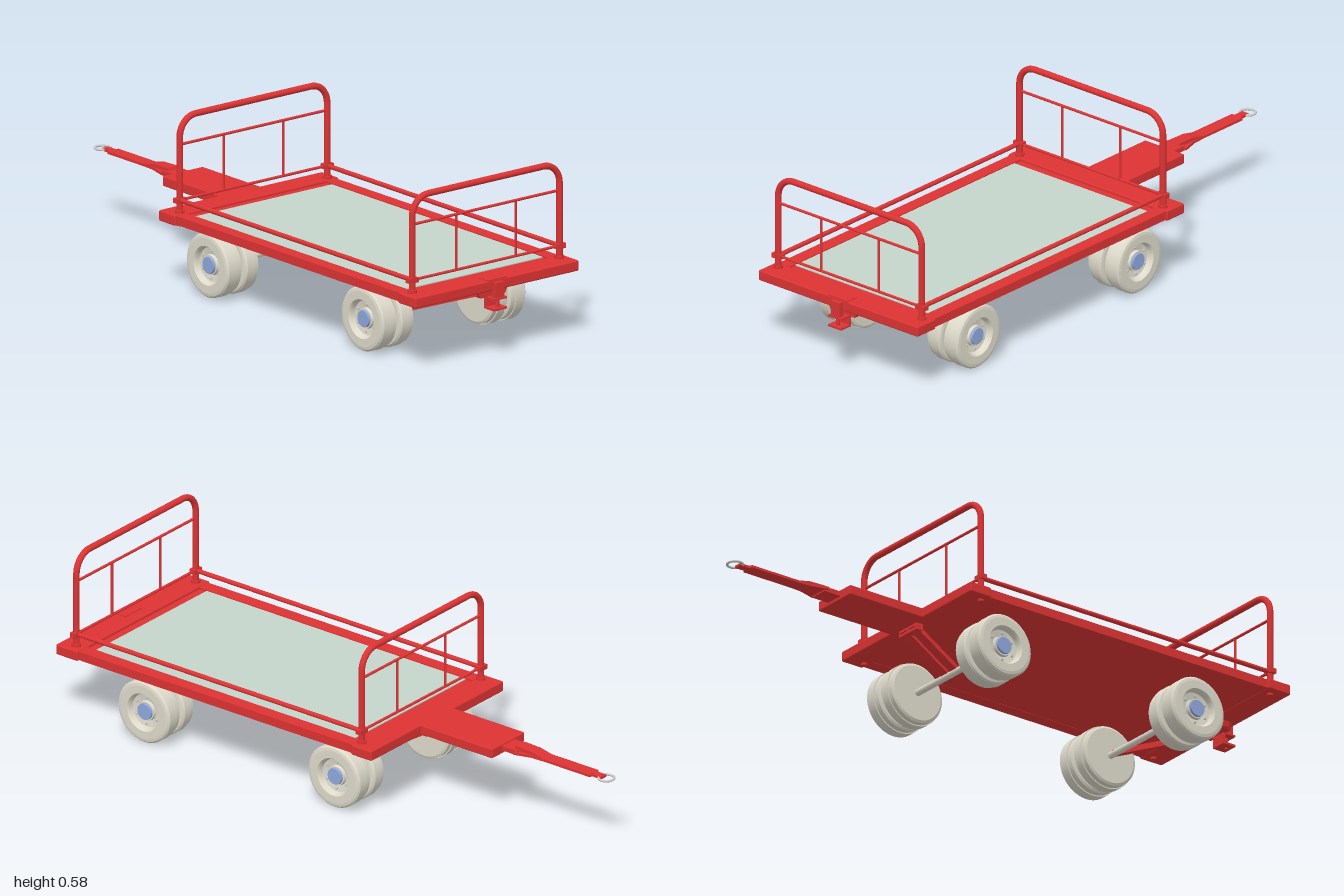
import * as THREE from 'three';
import { RoundedBoxGeometry } from 'three/addons/geometries/RoundedBoxGeometry.js';

const mat = (color) => new THREE.MeshStandardMaterial({ color });
const red = mat(0xdd3333), cream = mat(0xdedacb), blue = mat(0x8fa8dd), glass = mat(0xc5d5ca), grey = mat(0xcccccc);
cream.side = THREE.DoubleSide;
const V = (x, y, z) => new THREE.Vector3(x, y, z);

function add(parent, name, geometry, material = red, x = 0, y = 0, z = 0) {
  const mesh = new THREE.Mesh(geometry, material);
  mesh.name = name;
  mesh.position.set(x, y, z);
  parent.add(mesh);
  return mesh;
}

// Box given by its limits on each axis
function box(parent, name, [x0, x1], [y0, y1], [z0, z1], material = red, round = 0) {
  const s = [x1 - x0, y1 - y0, z1 - z0];
  const g = round ? new RoundedBoxGeometry(...s, 2, round) : new THREE.BoxGeometry(...s);
  return add(parent, name, g, material, (x0 + x1) / 2, (y0 + y1) / 2, (z0 + z1) / 2);
}

// Round bar between two points
function rod(parent, name, a, b, r, material = red) {
  const m = add(parent, name, new THREE.CylinderGeometry(r, r, a.distanceTo(b), 16), material);
  m.position.copy(a).add(b).multiplyScalar(0.5);
  m.quaternion.setFromUnitVectors(V(0, 1, 0), b.clone().sub(a).normalize());
}

// Flat bar between two points
function strut(parent, name, a, b, w, h) {
  const m = add(parent, name, new THREE.BoxGeometry(w, h, a.distanceTo(b)));
  m.position.copy(a).add(b).multiplyScalar(0.5);
  m.lookAt(b);
}

// End guard: bent hoop, two crossbars, two uprights
function endGuard(z) {
  const g = new THREE.Group();
  g.name = 'endGuard';
  const path = new THREE.CurvePath();
  const R = 0.065, X = 0.3, top = 0.57, k = R * 0.5523;
  const line = (a, b) => path.add(new THREE.LineCurve3(a, b));
  line(V(-X, 0.25, 0), V(-X, top - R, 0));
  path.add(new THREE.CubicBezierCurve3(V(-X, top - R, 0), V(-X, top - R + k, 0), V(-X + R - k, top, 0), V(-X + R, top, 0)));
  line(V(-X + R, top, 0), V(X - R, top, 0));
  path.add(new THREE.CubicBezierCurve3(V(X - R, top, 0), V(X - R + k, top, 0), V(X, top - R + k, 0), V(X, top - R, 0)));
  line(V(X, top - R, 0), V(X, 0.25, 0));
  add(g, 'hoop', new THREE.TubeGeometry(path, 120, 0.0105, 14));
  for (const y of [0.298, 0.48]) rod(g, 'crossbar', V(-X, y, 0), V(X, y, 0), 0.0045);
  for (const s of [-1, 1]) {
    rod(g, 'upright', V(s * 0.121, 0.298, 0), V(s * 0.121, 0.48, 0), 0.004);
    rod(g, 'postSocket', V(s * X, 0.25, 0), V(s * X, 0.266, 0), 0.015);
    rod(g, 'postBolt', V(s * X, 0.215, 0), V(s * X, 0.226, 0), 0.01);
    box(g, 'railBracket', [s * X - 0.018, s * X + 0.018], [0.29, 0.306], [-0.011, 0.011]);
  }
  g.position.z = z;
  return g;
}

// Wheel lathed about its own axis; +y of the profile is the outer side
function wheel(w, outer) {
  const g = new THREE.Group();
  g.name = outer ? 'outerWheel' : 'innerWheel';
  const h = w / 2;
  const profile = [[0, -h], [0.092, -h], [0.1, -h + 0.004], [0.101, -h * 0.3], [0.1045, -h * 0.3],
    [0.1045, h - 0.008], [0.099, h - 0.002], [0.09, h], [0.064, h], [0.06, h - 0.006],
    [0.056, h - 0.02], [0.034, h - 0.024], [0.032, h - 0.014], [0, h - 0.014]];
  // Repeated points keep the profile's corners sharp
  const pts = profile.flatMap(([r, y]) => [new THREE.Vector2(r, y), new THREE.Vector2(r, y)]);
  add(g, 'tyre', new THREE.LatheGeometry(pts, 48), cream);
  if (outer) {
    add(g, 'hub', new THREE.CylinderGeometry(0.027, 0.029, 0.016, 24), blue, 0, h - 0.014, 0);
    for (let i = 0; i < 6; i++) {
      const a = i * Math.PI / 3;
      add(g, 'wheelNut', new THREE.CylinderGeometry(0.004, 0.004, 0.008, 6), grey,
        0.045 * Math.cos(a), h - 0.02, 0.045 * Math.sin(a));
    }
  }
  return g;
}

// Axle with twin wheels at each end
function axle(z) {
  const g = new THREE.Group();
  g.name = 'axle';
  rod(g, 'axleTube', V(-0.24, 0, 0), V(0.24, 0, 0), 0.011, cream);
  for (const s of [-1, 1]) for (const [x, w, outer] of [[0.262, 0.064, true], [0.19, 0.058, false]]) {
    const m = wheel(w, outer);
    m.rotation.z = -s * Math.PI / 2;
    m.position.x = s * x;
    g.add(m);
  }
  g.position.set(0.01, 0.105, z);
  return g;
}

export function createModel() {
  const model = new THREE.Group();

  // Deck: slab, thicker end beams, inset panel
  const deck = new THREE.Group();
  deck.name = 'deck';
  model.add(deck);
  box(deck, 'slab', [-0.326, 0.326], [0.226, 0.248], [-0.27, 0.96]);
  for (const s of [-1, 1]) {
    const x = [s * 0.326, s * 0.281].sort((a, b) => a - b);
    box(deck, 'sideBeam', x, [0.225, 0.254], [-0.27, 0.96]);
  }
  box(deck, 'frontBeam', [-0.333, 0.333], [0.222, 0.257], [0.89, 0.977], red, 0.005);
  box(deck, 'rearBeam', [-0.333, 0.333], [0.222, 0.257], [-0.292, -0.21], red, 0.005);
  box(deck, 'panel', [-0.281, 0.281], [0.247, 0.251], [-0.18, 0.86], glass);

  // Guards at both ends and the low rails joining them
  model.add(endGuard(0.92), endGuard(-0.227));
  for (const s of [-1, 1]) rod(model, 'sideRail', V(s * 0.3, 0.298, -0.227), V(s * 0.3, 0.298, 0.92), 0.0075);

  // Running gear
  model.add(axle(0.65), axle(-0.115));
  for (const s of [-1, 1]) {
    strut(model, 'frontBrace', V(s * 0.05, 0.213, 0.94), V(s * 0.158, 0.108, 0.65), 0.02, 0.018);
    strut(model, 'rearBrace', V(s * 0.022, 0.218, -0.285), V(s * 0.022, 0.112, -0.115), 0.034, 0.014);
  }
  const gusset = new THREE.Shape([[-0.062, 0.223], [-0.05, 0.198], [0.05, 0.198], [0.062, 0.223]].map((p) => new THREE.Vector2(...p)));
  add(model, 'braceMount', new THREE.ExtrudeGeometry(gusset, { depth: 0.03, bevelEnabled: false }), red, 0, 0, 0.925);
  box(model, 'rearBraceMount', [-0.045, 0.045], [0.2, 0.226], [-0.285, -0.26]);

  // Towing clevis under the front beam
  const clevis = new THREE.Group();
  clevis.name = 'towClevis';
  model.add(clevis);
  box(clevis, 'topPlate', [-0.04, 0.04], [0.255, 0.26], [0.93, 0.977]);
  box(clevis, 'facePlate', [-0.018, 0.018], [0.2, 0.25], [0.972, 0.99]);
  box(clevis, 'backPlate', [-0.027, 0.027], [0.16, 0.224], [0.945, 0.953]);
  box(clevis, 'upperJaw', [-0.027, 0.027], [0.194, 0.2], [0.945, 0.993]);
  box(clevis, 'lowerJaw', [-0.027, 0.027], [0.16, 0.167], [0.945, 0.993]);
  rod(clevis, 'towPin', V(0, 0.155, 0.977), V(0, 0.205, 0.977), 0.006);

  // Tongue and drawbar
  const tow = new THREE.Group();
  tow.name = 'drawbar';
  model.add(tow);
  box(tow, 'tongue', [-0.082, 0.082], [0.223, 0.256], [-0.577, -0.28], red, 0.004);
  box(tow, 'hinge', [-0.032, 0.032], [0.234, 0.25], [-0.64, -0.57]);
  const half = [[0.043, 0.63], [0.036, 0.655], [0.026, 0.69], [0.023, 0.74], [0.023, 0.92], [0.013, 0.925], [0.013, 0.96]];
  const outline = [...half, ...half.map(([x, z]) => [-x, z]).reverse()].map((p) => new THREE.Vector2(...p));
  const bar = add(tow, 'bar', new THREE.ExtrudeGeometry(new THREE.Shape(outline), { depth: 0.008, bevelEnabled: false }), red, 0, 0.239, 0);
  bar.rotation.x = -Math.PI / 2;
  // Raised ridge tapering along the bar
  const ridge = new THREE.Shape([[0.62, 0.246], [0.625, 0.259], [0.69, 0.257], [0.74, 0.246]].map((p) => new THREE.Vector2(...p)));
  const cover = add(tow, 'ridge', new THREE.ExtrudeGeometry(ridge, { depth: 0.044, bevelEnabled: false }), red, 0.022, 0, 0);
  cover.rotation.y = Math.PI / 2;
  cover.position.x = -0.022;
  cover.scale.x = 1;
  // Shape runs towards -z after the turn
  const eye = add(tow, 'towEye', new THREE.TorusGeometry(0.025, 0.004, 10, 32), grey, 0, 0.243, -0.971);
  eye.rotation.x = Math.PI / 2;
  return model;
}
